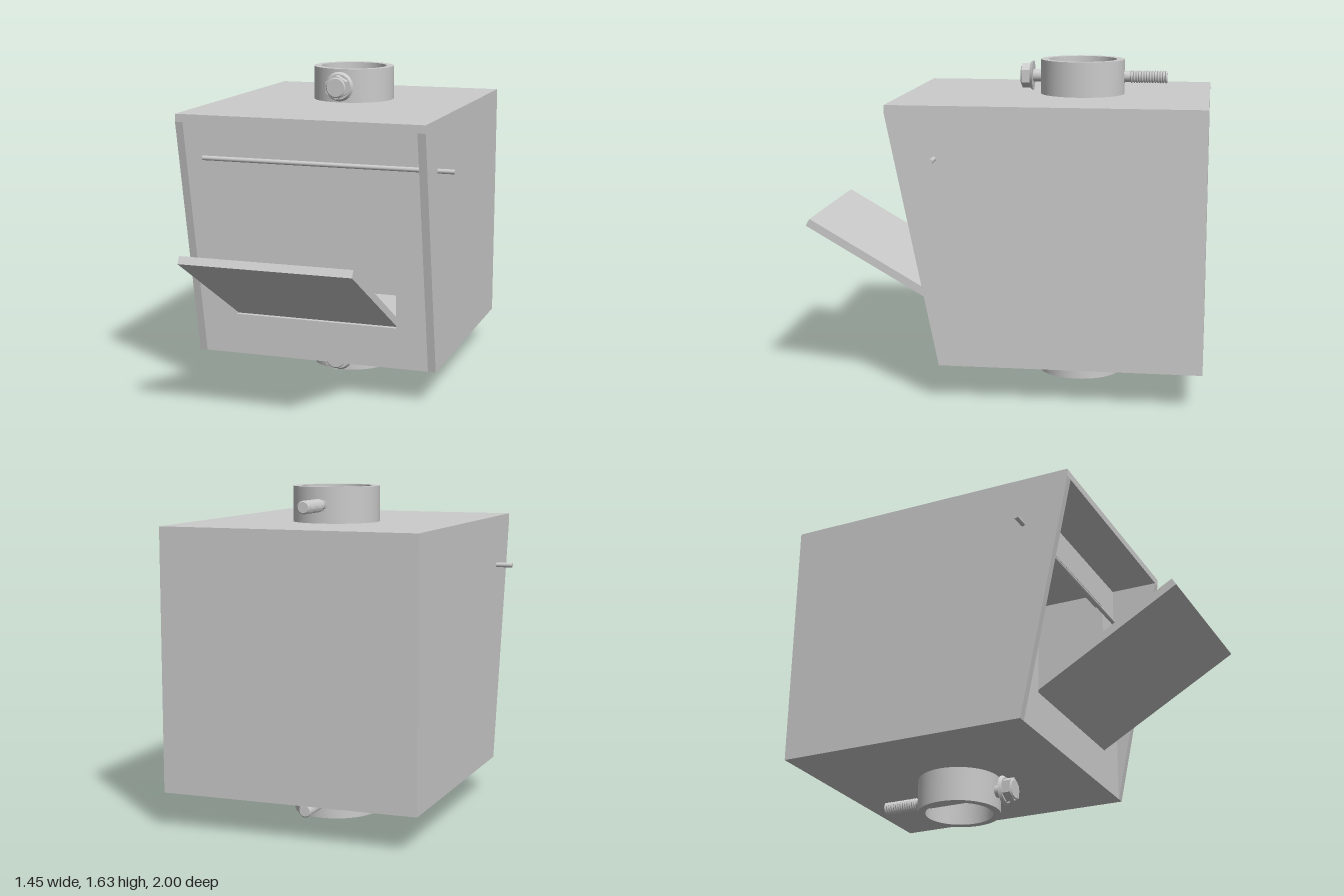
import * as THREE from 'three';

const material = new THREE.MeshStandardMaterial({ color: 0xcccccc });
const T = 0.04; // sheet thickness
const W = 1.28; // outer width
const BOTTOM = 0.175, TOP = 1.455, BACK = -1, FRONT = 0.285;

function add(parent, name, geometry, x = 0, y = 0, z = 0) {
  const mesh = new THREE.Mesh(geometry, material);
  mesh.name = name;
  mesh.position.set(x, y, z);
  parent.add(mesh);
  return mesh;
}

// Box given by its y and z limits, centred on x
function slab(parent, name, width, y0, y1, z0, z1) {
  return add(parent, name, new THREE.BoxGeometry(width, y1 - y0, z1 - z0), 0, (y0 + y1) / 2, (z0 + z1) / 2);
}

// Lathe with hard edges: every profile segment gets its own normals
function hardLathe(points, segments) {
  const doubled = [];
  points.forEach(([r, y], i) => {
    doubled.push(new THREE.Vector2(r, y));
    if (i > 0 && i < points.length - 1) doubled.push(new THREE.Vector2(r, y));
  });
  const flat = new THREE.LatheGeometry(doubled, segments);
  // Normals per segment: outward perpendicular of the profile direction
  const normal = flat.attributes.normal, n = doubled.length;
  for (let s = 0; s <= segments; s++) {
    const a = (s / segments) * Math.PI * 2;
    for (let j = 0; j < n; j++) {
      const k = j - (j % 2);
      const d = doubled[k + 1].clone().sub(doubled[k]).normalize();
      normal.setXYZ(s * n + j, d.y * Math.sin(a), -d.x, d.y * Math.cos(a));
    }
  }
  return flat;
}

// Flanged hex bolt along z, head at the front
function createBolt(name, y) {
  const bolt = new THREE.Group();
  bolt.name = name;

  const hex = new THREE.CylinderGeometry(0.063, 0.063, 0.045, 6).toNonIndexed();
  hex.computeVertexNormals();
  add(bolt, 'hexHead', hex.rotateY(Math.PI / 6).rotateX(Math.PI / 2).rotateZ(Math.PI / 2), 0, 0, -0.068);
  add(bolt, 'headChamfer', new THREE.CylinderGeometry(0.047, 0.054, 0.006, 32).rotateX(Math.PI / 2), 0, 0, -0.043);
  add(bolt, 'headFlange', new THREE.CylinderGeometry(0.066, 0.077, 0.015, 40).rotateX(Math.PI / 2), 0, 0, -0.0955);
  add(bolt, 'shank', new THREE.CylinderGeometry(0.032, 0.032, 0.47, 32).rotateX(Math.PI / 2), 0, 0, -0.335);
  add(bolt, 'neck', new THREE.CylinderGeometry(0.027, 0.027, 0.04, 32).rotateX(Math.PI / 2), 0, 0, -0.585);

  // Threaded end as a row of ridges
  const turns = 14, start = 0.597, end = 0.785, pitch = (end - start) / turns;
  const profile = [[0, start], [0.026, start]];
  for (let i = 0; i < turns; i++) {
    profile.push([0.032, start + (i + 0.4) * pitch], [0.032, start + (i + 0.6) * pitch], [0.026, start + (i + 1) * pitch]);
  }
  profile.push([0, end]);
  add(bolt, 'thread', hardLathe(profile, 28).rotateX(-Math.PI / 2));

  bolt.position.y = y;
  return bolt;
}

export function createModel() {
  const model = new THREE.Group();
  model.name = 'boxWithFlap';

  // Roof, floor and back
  slab(model, 'roof', W, TOP - T, TOP, BACK, 0.54);
  slab(model, 'floor', W - 2 * T, BOTTOM, BOTTOM + T, BACK + T, FRONT - T);
  slab(model, 'backWall', W - 2 * T, BOTTOM, TOP - T, BACK, BACK + T);

  // Side walls with the sloping front edge
  const side = new THREE.Shape([
    new THREE.Vector2(BACK, BOTTOM), new THREE.Vector2(FRONT, BOTTOM),
    new THREE.Vector2(0.54, TOP - T), new THREE.Vector2(BACK, TOP - T),
  ]);
  const sideGeometry = new THREE.ExtrudeGeometry(side, { depth: T, bevelEnabled: false })
    .translate(0, 0, -T / 2).rotateY(-Math.PI / 2);
  add(model, 'leftWall', sideGeometry, (W - T) / 2);
  add(model, 'rightWall', sideGeometry, -(W - T) / 2);

  // Upright front panel with its rectangular opening
  const rect = (Type, x, y0, y1) => new Type([
    new THREE.Vector2(-x, y0), new THREE.Vector2(x, y0), new THREE.Vector2(x, y1), new THREE.Vector2(-x, y1),
  ]);
  const panel = rect(THREE.Shape, W / 2 - T, BOTTOM, TOP - T);
  panel.holes.push(rect(THREE.Path, 0.43, 0.385, 1.245));
  add(model, 'frontPanel', new THREE.ExtrudeGeometry(panel, { depth: T, bevelEnabled: false }), 0, 0, FRONT - T);

  // Open flap hinged at the lower edge of the opening
  const flap = add(model, 'flap', new THREE.BoxGeometry(0.86, T, 0.86).translate(0, T / 2, 0.43), 0, 0.383, 0.255);
  flap.rotation.x = -Math.PI / 6;

  // Cross rod through both side walls
  add(model, 'crossRod', new THREE.CylinderGeometry(0.012, 0.012, 1.45, 20).rotateZ(Math.PI / 2), 0, 1.2, 0.3);

  // Mounting collars above and below, each with a bolt through it
  const ro = 0.213, ri = 0.173, h = 0.175;
  const collar = hardLathe([[ri, 0], [ro, 0], [ro, h], [ri, h], [ri, 0]], 64);
  add(model, 'topCollar', collar, 0, TOP, -0.355);
  add(model, 'bottomCollar', collar, 0, 0, -0.355);
  model.add(createBolt('topBolt', 1.543), createBolt('bottomBolt', 0.088));

  return model;
}
